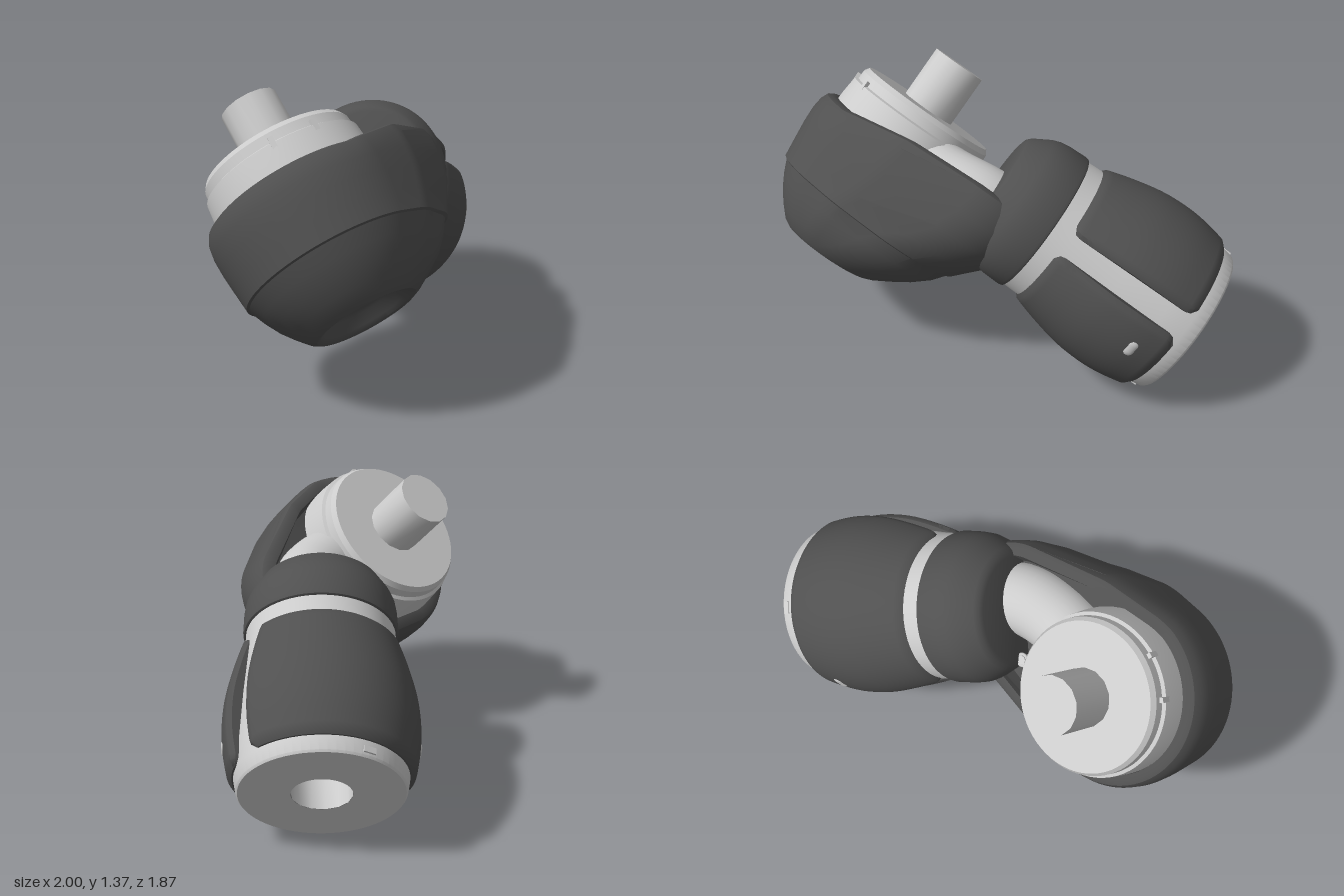
import * as THREE from 'three';
import { toCreasedNormals } from 'three/addons/utils/BufferGeometryUtils.js';

const grey = new THREE.MeshStandardMaterial({ color: 0xcccccc });
const dark = new THREE.MeshStandardMaterial({ color: 0x505050 });
const V = (x, y, z) => new THREE.Vector3(x, y, z);
const clamp01 = (v) => Math.min(1, Math.max(0, v));

function add(parent, name, geometry, material, x = 0, y = 0, z = 0) {
  const mesh = new THREE.Mesh(geometry, material);
  mesh.name = name;
  mesh.position.set(x, y, z);
  parent.add(mesh);
  return mesh;
}

function lathe(points, sides = 64) {
  const profile = points.map(([r, y]) => new THREE.Vector2(r, y));
  return toCreasedNormals(new THREE.LatheGeometry(profile, sides), 0.5);
}

// Loft whose sections are the outline around a head circle, a neck circle
// and a circle between them that rounds the front flank.
// Section: [height, head radius, neck x, neck z, neck radius]
function housingGeometry() {
  const sections = [
    [-0.11, 0, 0, 0, 0],
    [-0.11, 0.165, 0, 0, 0.165],
    [-0.122, 0.183, 0, 0, 0.183],
    [-0.17, 0.213, 0, 0, 0.213],
    [-0.188, 0.23, 0, 0, 0.23],
    [-0.192, 0.248, 0.01, 0, 0.24],
    [-0.175, 0.277, 0.03, 0, 0.26],
    [-0.12, 0.326, 0.10, -0.01, 0.285],
    [-0.06, 0.371, 0.17, -0.02, 0.31],
    [0.01, 0.41, 0.23, -0.04, 0.33],
    [0.08, 0.44, 0.28, -0.05, 0.34],
    [0.086, 0.452, 0.29, -0.05, 0.35],
    [0.18, 0.462, 0.41, -0.09, 0.32],
    [0.28, 0.472, 0.51, -0.13, 0.325],
    [0.36, 0.475, 0.56, -0.16, 0.335],
    [0.42, 0.468, 0.57, -0.17, 0.34],
    [0.455, 0.452, 0.57, -0.17, 0.33],
    [0.468, 0.43, 0.57, -0.17, 0.31],
    [0.47, 0.40, 0.57, -0.17, 0.27],
    [0.41, 0.39, 0.57, -0.17, 0.24],
    [0.41, 0, 0.3, -0.05, 0],
  ];
  const n = 96, pos = [], index = [];
  sections.forEach(([y, rh, nx, nz, rn], i) => {
    const lerp = THREE.MathUtils.lerp;
    const reach = clamp01(nx / 0.4);
    const circles = rh === 0 ? [[nx, nz, 0]] : [
      [0, 0, rh],
      [nx * 0.4, nz * 0.4 + 0.035 * reach, lerp(rh, rn, 0.4)],
      [nx, nz, rn],
    ];
    for (let j = 0; j < n; j++) {
      const a = (j / n) * Math.PI * 2, c = Math.cos(a), s = Math.sin(a);
      const support = ([x, z, r]) => x * c + z * s + r;
      const [cx, cz, r] = circles.reduce((p, q) => (support(q) > support(p) ? q : p));
      const x = cx + r * c, z = cz + r * s;
      // the rim climbs towards the neck
      const rise = 0.1 * clamp01((x - 0.05) / 0.5) * clamp01((y - 0.25) / 0.2);
      pos.push(x, y + rise, z);
      if (i === 0) continue;
      const k = (j + 1) % n, lo = (i - 1) * n, hi = i * n;
      index.push(lo + k, lo + j, hi + j, lo + k, hi + j, hi + k);
    }
  });
  const g = new THREE.BufferGeometry();
  g.setAttribute('position', new THREE.Float32BufferAttribute(pos, 3));
  g.setIndex(index);
  return toCreasedNormals(g, 0.6);
}

// Outer radius of the grip panels along the barrel
const bulge = new THREE.CatmullRomCurve3([
  V(0.372, 0, 0), V(0.42, 0.25, 0), V(0.452, 0.55, 0), V(0.453, 0.8, 0), V(0.425, 1, 0),
]);

// Curved shell with rounded corners and softened edges
function panelGeometry(y0, y1, halfAngle) {
  const g = new THREE.BoxGeometry(2, 2, 1, 56, 28, 1);
  const p = g.attributes.position;
  for (let i = 0; i < p.count; i++) {
    const u = p.getX(i), v = p.getY(i), outer = p.getZ(i) > 0;
    const k = clamp01((Math.abs(v) - 0.82) / 0.18);
    const angle = u * (halfAngle - 0.1 * (1 - Math.sqrt(1 - k * k)));
    const edge = Math.max(clamp01((Math.abs(u) - 0.95) / 0.05), clamp01((Math.abs(v) - 0.91) / 0.09));
    const r = outer ? bulge.getPoint((v + 1) / 2).x - 0.02 * edge * edge : 0.33;
    p.setXYZ(i, r * Math.sin(angle), y0 + (y1 - y0) * (v + 1) / 2, r * Math.cos(angle));
  }
  return toCreasedNormals(g, 0.7);
}

function createHead() {
  const head = new THREE.Group();
  head.name = 'head';
  add(head, 'housing', housingGeometry(), dark);

  // cap and its peg
  add(head, 'cap', lathe([
    [0.4, 0.4], [0.397, 0.5], [0.388, 0.6], [0.372, 0.608],
    [0.37, 0.655], [0.354, 0.68], [0, 0.68],
  ]), grey);
  add(head, 'peg', toCreasedNormals(new THREE.CylinderGeometry(0.14, 0.14, 0.29, 14), 0.6), grey, 0, 0.805, 0);
  for (const a of [-0.05, -0.6, 2.2]) {
    const rib = add(head, 'capRib', new THREE.BoxGeometry(0.025, 0.07, 0.02), grey,
      0.38 * Math.sin(a), 0.595, 0.38 * Math.cos(a));
    rib.rotation.y = a;
  }

  // conduit running from the cap into the neck
  const path = new THREE.CatmullRomCurve3([V(0.2, 0.45, 0.01), V(0.42, 0.46, -0.03), V(0.6, 0.49, -0.12), V(0.72, 0.5, -0.3)]);
  add(head, 'conduit', new THREE.TubeGeometry(path, 24, 0.175, 32), grey);
  add(head, 'screw', new THREE.CylinderGeometry(0.022, 0.022, 0.12, 16), grey, 0.36, 0.49, -0.28);
  add(head, 'screwRing', new THREE.TorusGeometry(0.028, 0.008, 8, 20).rotateX(Math.PI / 2), grey, 0.36, 0.54, -0.28);
  return head;
}

function createBarrel() {
  const barrel = new THREE.Group();
  barrel.name = 'barrel';
  // collar with a wide chamfer towards the head
  add(barrel, 'neckRing', lathe([
    [0, -0.15], [0.25, -0.15], [0.275, -0.143], [0.295, -0.125], [0.345, -0.04],
    [0.36, 0], [0.367, 0.05], [0.37, 0.14], [0.366, 0.155], [0.35, 0.163], [0.3, 0.163],
  ]), dark);
  // inner core with a socket in its end
  add(barrel, 'core', lathe([
    [0.3, 0.155], [0.356, 0.155], [0.36, 0.27], [0.385, 0.55], [0.4, 0.8], [0.397, 0.93],
    [0.386, 0.99], [0.378, 1], [0.14, 1],
  ]), grey);
  add(barrel, 'socket', lathe([[0.14, 1], [0.14, 0.7], [0, 0.7]], 14), grey);

  // two grip panels, each with a small slot
  for (const side of [0, Math.PI]) {
    const half = new THREE.Group();
    half.name = 'gripHalf';
    half.rotation.y = side;
    barrel.add(half);
    const panel = add(half, 'gripPanel', panelGeometry(0.235, 0.925, Math.PI / 2 - 0.15), dark);
    panel.rotation.y = Math.PI / 2;
    const a = Math.PI / 6;
    const slot = add(half, 'slot', new THREE.CapsuleGeometry(0.032, 0.04, 6, 16), grey,
      0.437 * Math.sin(a), 0.77, 0.437 * Math.cos(a));
    slot.scale.z = 0.6;
    slot.rotation.set(0, a, Math.PI / 2, 'YXZ');
    const notch = add(half, 'endNotch', new THREE.BoxGeometry(0.06, 0.03, 0.012), grey, 0.39, 0.965, 0);
    notch.rotation.y = Math.PI / 2;
  }
  return barrel;
}

export function createModel() {
  const model = new THREE.Group();
  model.name = 'swivelJoint';

  // head frame: local y runs along the peg
  const joint = new THREE.Group();
  joint.name = 'joint';
  const d = V(-0.08, 0.72, -0.69).normalize();
  const u = V(0, 0.69, 0.72).normalize();
  const side = d.clone().cross(u).normalize();
  joint.quaternion.setFromRotationMatrix(new THREE.Matrix4().makeBasis(side, d, u));
  joint.position.set(-0.5, 0.5865, 0.612);
  joint.add(createHead());

  // barrel frame: local y runs out through the neck, at right angles to the peg
  const barrel = createBarrel();
  const n = V(0.577, 0, -0.815).normalize();
  const across = V(0.815, 0, 0.577).normalize();
  barrel.quaternion.setFromRotationMatrix(new THREE.Matrix4().makeBasis(V(0, -1, 0), n, across));
  barrel.position.set(0.66, 0.575, -0.27);
  joint.add(barrel);

  model.add(joint);
  return model;
}
